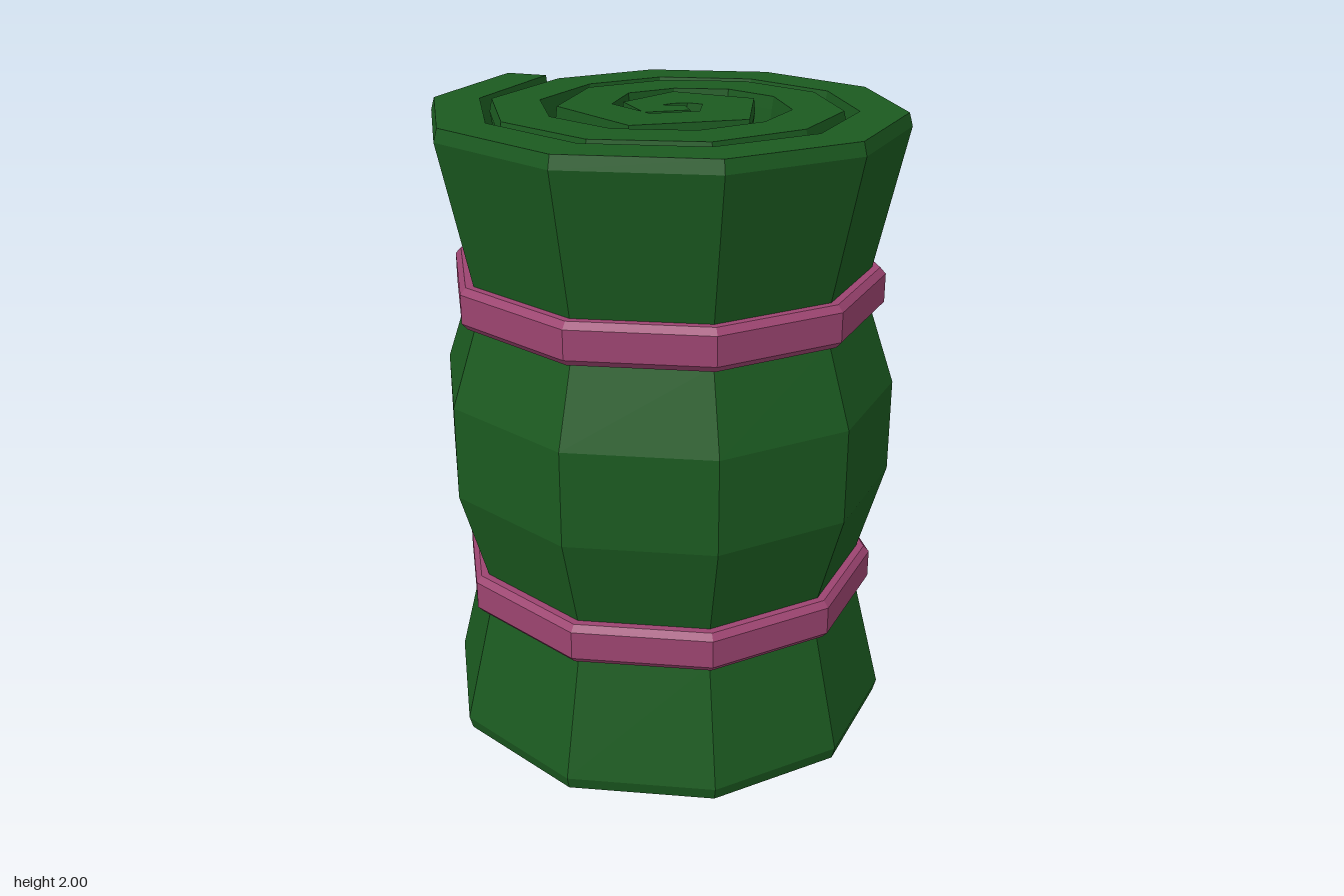
import * as THREE from 'three';

const material = (color) => new THREE.MeshStandardMaterial({ color, flatShading: true });

// Move each point of an [x, z] path sideways by t(i) with mitred corners (positive = inwards)
function offsetPath(path, t, closed) {
  const n = path.length;
  const normal = (a, b) => {
    const dx = b[0] - a[0], dz = b[1] - a[1], l = Math.hypot(dx, dz);
    return [dz / l, -dx / l];
  };
  return path.map((p, i) => {
    const prev = closed ? path[(i + n - 1) % n] : path[i - 1];
    const next = closed ? path[(i + 1) % n] : path[i + 1];
    const n1 = prev ? normal(prev, p) : normal(p, next);
    const n2 = next ? normal(p, next) : n1;
    const k = t(i) / (1 + n1[0] * n2[0] + n1[1] * n2[1]);
    return [p[0] + (n1[0] + n2[0]) * k, p[1] + (n1[1] + n2[1]) * k];
  });
}

// Skin a row of closed cross-sections; open rows get end caps
function loft(rings, closed) {
  const m = rings[0].length, n = rings.length, index = [];
  const quad = (a, b, c, d) => index.push(a, b, c, a, c, d);
  for (let i = 0; i < (closed ? n : n - 1); i++) {
    const a = i * m, b = ((i + 1) % n) * m;
    for (let j = 0; j < m; j++) {
      const k = (j + 1) % m;
      quad(a + j, b + j, b + k, a + k);
    }
  }
  if (!closed) {
    const e = (n - 1) * m;
    for (let k = 0; k < m / 2 - 1; k++) {
      quad(k, k + 1, m - 2 - k, m - 1 - k);
      quad(e + m - 1 - k, e + m - 2 - k, e + k + 1, e + k);
    }
  }
  const g = new THREE.BufferGeometry();
  g.setAttribute('position', new THREE.Float32BufferAttribute(rings.flat(2), 3));
  g.setIndex(index);
  const flat = g.toNonIndexed();
  flat.computeVertexNormals();
  return flat;
}

// Sweep a [outward, up] section round a closed path; heights shift each point up
function sweepLoop(path, section, heights) {
  const sides = section.map(([u]) => offsetPath(path, () => -u, true));
  return loft(path.map((_, i) => section.map(([, v], j) =>
    [sides[j][i][0], v + (heights ? heights[i] : 0), sides[j][i][1]])), true);
}

// Outer edge of the rolled mat, from the loose flap to the centre
const spiral = [
  [-0.383, -0.71], [-0.67, -0.33], [-0.706, 0.14], [-0.448, 0.54], [-0.015, 0.703],
  [0.414, 0.588], [0.687, 0.247], [0.706, -0.178], [0.478, -0.52], [0.106, -0.66],
  [-0.235, -0.565], [-0.497, -0.266], [-0.516, 0.095], [-0.32, 0.383], [0.008, 0.497],
  [0.311, 0.4], [0.505, 0.18], [0.516, -0.133], [0.357, -0.368], [0.1, -0.455],
  [-0.167, -0.38], [-0.32, -0.095], [-0.167, 0.232], [0.194, 0.232], [0.3, -0.076],
  [0.083, -0.247], [-0.11, -0.114], [-0.083, 0.057], [0.06, 0.057],
];
// Height and girth: pinched where the straps pull tight
const profile = [
  [0, 0.985], [0.04, 1], [0.43, 0.87], [0.56, 0.87], [0.85, 0.985],
  [1.15, 0.985], [1.4, 0.87], [1.525, 0.87], [1.96, 1], [2, 0.985],
];

function matGeometry() {
  const last = spiral.length - 1;
  const thickness = (i) => ({ [last]: 0.08, [last - 1]: 0.095, [last - 2]: 0.13 }[i] ?? 0.157);
  const inner = offsetPath(spiral, thickness, false);
  const rings = spiral.map((p, i) => {
    const out = profile.map(([y, s]) => [p[0] * s, y, p[1] * s]);
    const back = profile.map(([y, s]) => {
      const k = y === 0 || y === 2 ? 1.015 : s;
      return [inner[i][0] * k, y, inner[i][1] * k];
    });
    return [...out, ...back.reverse()];
  });
  return loft(rings, false);
}

function strapGeometry() {
  // Follows the mat, then bridges from the flap through the buckle
  const path = spiral.slice(0, 10).map(([x, z]) => [x * 0.868, z * 0.868]);
  path.push([0.0, -0.59], [-0.17, -0.645]);
  const section = [[-0.02, -0.065], [0.025, -0.065], [0.042, -0.045],
    [0.042, 0.045], [0.025, 0.065], [-0.02, 0.065]];
  return sweepLoop(path, section);
}

function buckleGeometry() {
  // Half outline as [x, half height, depth], waved where the strap threads through
  const half = [[-0.302, 0.065, -0.685], [-0.26, 0.105, -0.685], [-0.205, 0.105, -0.677],
    [-0.165, 0.09, -0.637], [-0.115, 0.105, -0.645], [-0.05, 0.105, -0.658], [-0.018, 0.07, -0.66]];
  const all = [...half, ...half.slice().reverse().map(([x, h, d]) => [x, -h, d])];
  const section = [[-0.018, -0.015], [0.018, -0.015], [0.018, 0.015], [-0.018, 0.015]];
  return sweepLoop(all.map(([x, h]) => [x, h]), section, all.map((p) => p[2]))
    .rotateX(Math.PI / 2);
}

export function createModel() {
  const model = new THREE.Group();
  model.name = 'rolledMat';
  const add = (name, geometry, mat, y = 0) => {
    const mesh = new THREE.Mesh(geometry, mat);
    mesh.name = name;
    mesh.position.y = y;
    model.add(mesh);
  };

  add('mat', matGeometry(), material(0x1b5a20));

  // Two identical buckled straps
  const strap = strapGeometry(), buckle = buckleGeometry();
  const pink = material(0x9c4470), blue = material(0x0d0dbb);
  for (const [side, y] of [['lower', 0.495], ['upper', 1.46]]) {
    add(side + 'Strap', strap, pink, y);
    add(side + 'Buckle', buckle, blue, y);
  }
  return model;
}
